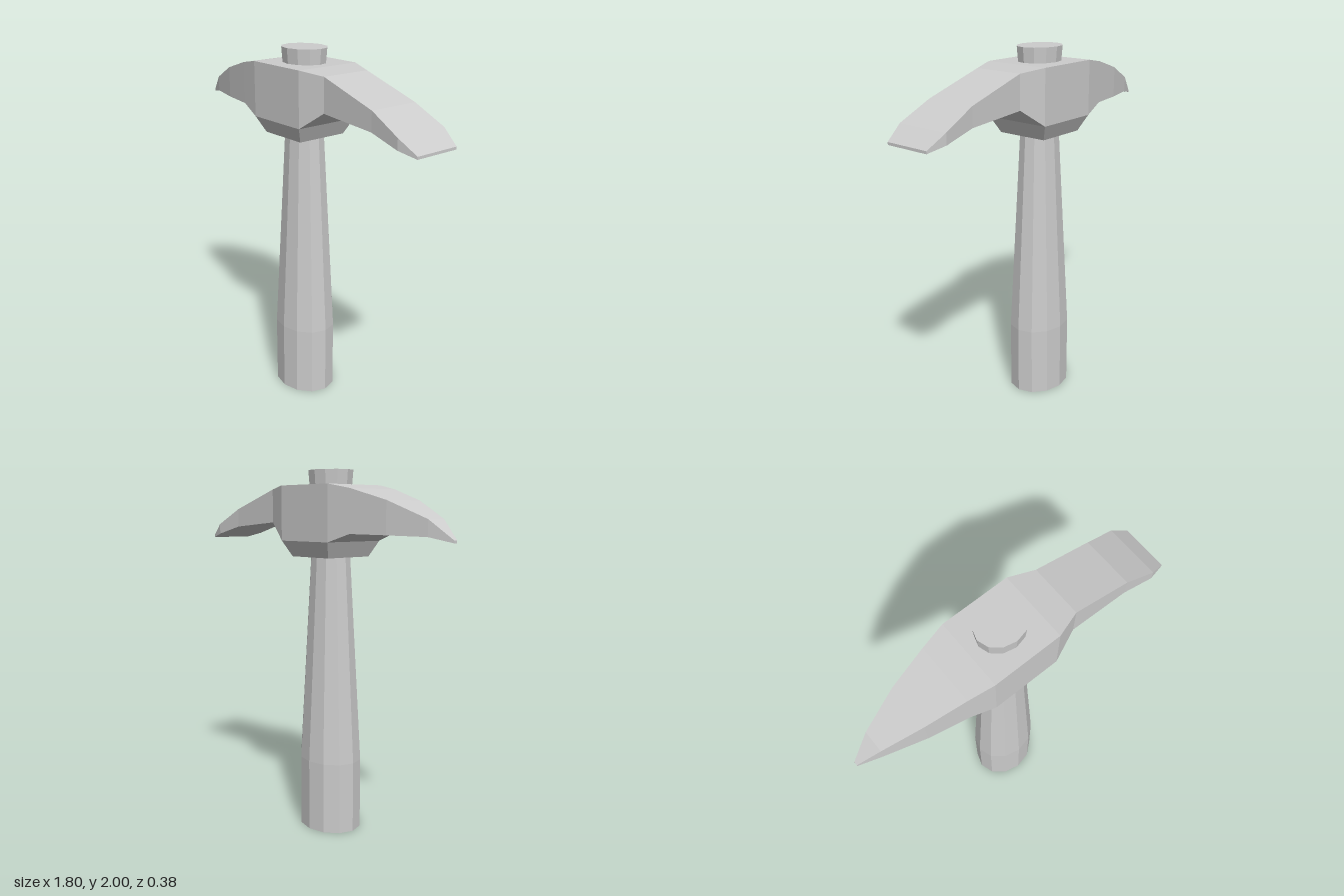
import * as THREE from 'three';

// Faceted solid through matching rings of [x, y, z] points, closed at both ends.
function loft(rings) {
  const pos = [];
  const tri = (a, b, c) => pos.push(...a, ...b, ...c);
  const n = rings[0].length;
  for (let k = 0; k < rings.length - 1; k++) {
    const lo = rings[k], hi = rings[k + 1];
    for (let i = 0; i < n; i++) {
      const j = (i + 1) % n;
      tri(lo[i], lo[j], hi[j]);
      tri(lo[i], hi[j], hi[i]);
    }
  }
  const first = rings[0], last = rings[rings.length - 1];
  for (let i = 1; i < n - 1; i++) {
    tri(first[0], first[i + 1], first[i]);
    tri(last[0], last[i], last[i + 1]);
  }
  const geometry = new THREE.BufferGeometry();
  geometry.setAttribute('position', new THREE.Float32BufferAttribute(pos, 3));
  geometry.computeVertexNormals(); // unshared corners give flat facets
  return geometry;
}

export function createModel() {
  const group = new THREE.Group();
  const grey = new THREE.MeshStandardMaterial({ color: 0xcccccc });
  grey.name = 'plain grey';
  const add = (name, rings) => {
    const mesh = new THREE.Mesh(loft(rings), grey);
    mesh.name = name;
    group.add(mesh);
  };

  // Handle: oval rings, [y, x radius, z radius], running up through the head
  const sides = 12, centreX = -0.045;
  const handle = [
    [0, 0.19, 0.16], [0.4, 0.19, 0.16], [1.54, 0.12, 0.1],
    [1.92, 0.128, 0.109], [2, 0.135, 0.115],
  ];
  add('handle', handle.map(([y, rx, rz]) =>
    Array.from({ length: sides }, (_, i) => {
      const a = (i / sides) * Math.PI * 2;
      return [centreX + rx * Math.cos(a), y, -rz * Math.sin(a)];
    })));

  // Head: rectangular sections from the point to the chisel, [x, bottom, top, half depth]
  const head = [
    [-0.905, 1.635, 1.648, 0.01], [-0.785, 1.662, 1.745, 0.058], [-0.575, 1.667, 1.835, 0.12],
    [-0.365, 1.67, 1.895, 0.163], [-0.23, 1.625, 1.92, 0.19], [0.143, 1.625, 1.92, 0.19],
    [0.28, 1.722, 1.903, 0.143], [0.615, 1.695, 1.797, 0.143], [0.795, 1.65, 1.708, 0.155],
    [0.895, 1.626, 1.64, 0.13],
  ];
  add('pickHead', head.map(([x, b, t, z]) => [[x, b, -z], [x, t, -z], [x, t, z], [x, b, z]]));

  // Collar: tapered block under the head, [y, left, right, half depth]
  const collar = [[1.54, -0.19, 0.102, 0.148], [1.625, -0.23, 0.143, 0.19]];
  add('collar', collar.map(([y, l, r, z]) => [[l, y, z], [r, y, z], [r, y, -z], [l, y, -z]]));

  return group;
}
